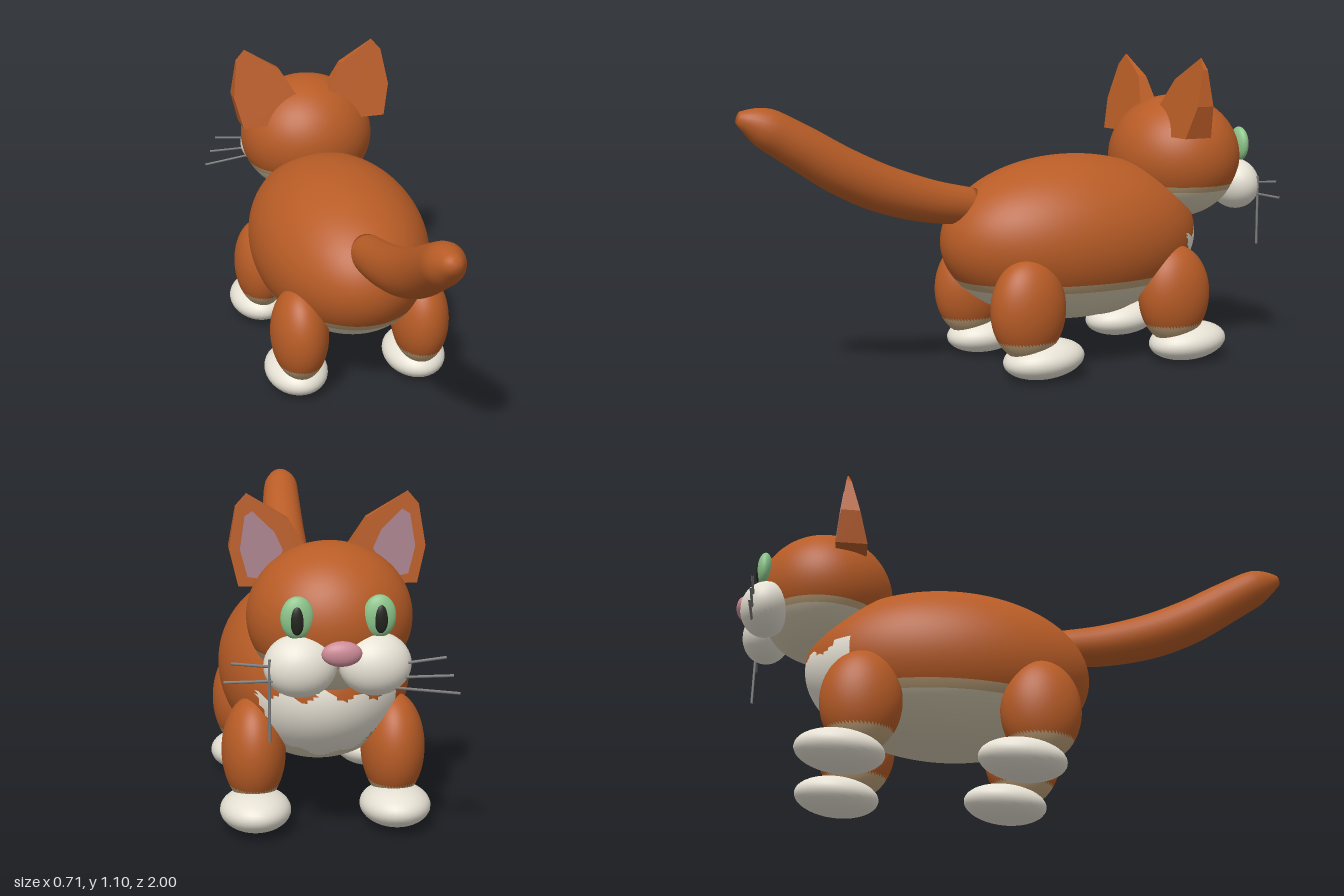
import * as THREE from 'three';

const MID = 0.008; // centre line of the cat

function material(name, color, side = THREE.FrontSide) {
  const m = new THREE.MeshStandardMaterial({ color, side });
  m.name = name;
  return m;
}

// Ellipsoid; an optional rule(x, y, z) in model space picks a material index per face
function ellipsoid(name, mats, c, r, rule, segs = 32) {
  const geo = new THREE.SphereGeometry(1, segs, Math.round(segs * 0.75));
  geo.scale(...r);
  if (rule) {
    const p = geo.attributes.position, old = geo.index.array;
    const buckets = mats.map(() => []);
    for (let i = 0; i < old.length; i += 3) {
      const tri = [old[i], old[i + 1], old[i + 2]];
      const mean = (get) => (get(tri[0]) + get(tri[1]) + get(tri[2])) / 3;
      const k = rule(mean((j) => p.getX(j)) + c[0], mean((j) => p.getY(j)) + c[1], mean((j) => p.getZ(j)) + c[2]);
      buckets[k].push(...tri);
    }
    geo.setIndex(buckets.flat());
    let start = 0;
    buckets.forEach((b, k) => { geo.addGroup(start, b.length, k); start += b.length; });
  }
  const mesh = new THREE.Mesh(geo, mats);
  mesh.name = name;
  mesh.position.set(...c);
  return mesh;
}

// Swept tail with its own radius at each point along the curve
function tailGeometry() {
  const curve = new THREE.CatmullRomCurve3([
    [0.0, 0.59, 0.15], [0.012, 0.62, 0.32], [0.02, 0.675, 0.5], [0.022, 0.745, 0.65],
    [0.018, 0.83, 0.79], [0.01, 0.905, 0.92], [0.008, 0.935, 0.995],
  ].map((a) => new THREE.Vector3(...a)));
  const rings = 40, sides = 24, pos = [], idx = [];
  const side = new THREE.Vector3(1, 0, 0);
  for (let i = 0; i <= rings; i++) {
    const t = i / rings, c = curve.getPointAt(t);
    const up = curve.getTangentAt(t).cross(side).normalize();
    let r = 0.065 + 0.018 * Math.sin(Math.PI * Math.min(1, t * 1.05));
    if (t > 0.88) r *= 1 - 0.68 * ((t - 0.88) / 0.12) ** 1.8;
    for (let j = 0; j < sides; j++) {
      const a = (j / sides) * Math.PI * 2;
      pos.push(c.x + r * Math.cos(a), c.y + up.y * r * Math.sin(a), c.z + up.z * r * Math.sin(a));
      if (i < rings) {
        const k = i * sides, n = (j + 1) % sides;
        idx.push(k + j, k + n, k + sides + j, k + n, k + sides + n, k + sides + j);
      }
    }
  }
  // end caps
  [0, 1].forEach((t) => {
    const c = curve.getPointAt(t), k = t * rings * sides, hub = pos.length / 3;
    pos.push(c.x, c.y, c.z);
    for (let j = 0; j < sides; j++) {
      const n = (j + 1) % sides;
      if (t) idx.push(hub, k + j, k + n); else idx.push(hub, k + n, k + j);
    }
  });
  const geo = new THREE.BufferGeometry();
  geo.setAttribute('position', new THREE.Float32BufferAttribute(pos, 3));
  geo.setIndex(idx);
  geo.computeVertexNormals();
  return geo;
}

// Ear slab: an outline (x mirrored by s) whose thickness shrinks toward the tip
function earGeometry(outline, s, front, back) {
  const shape = new THREE.Shape(outline.map(([x, y]) => new THREE.Vector2(s * x, y)));
  const geo = new THREE.ExtrudeGeometry(shape, { depth: 1, bevelEnabled: false });
  const p = geo.attributes.position;
  for (let i = 0; i < p.count; i++) {
    const h = (p.getY(i) - 0.82) / 0.285;
    p.setZ(i, p.getZ(i) > 0.5 ? back(h) : front(h));
  }
  geo.computeVertexNormals();
  return geo;
}

export function createModel() {
  const cat = new THREE.Group();
  cat.name = 'cat';
  const orange = material('orange fur', 0xb85c26, THREE.DoubleSide);
  const white = material('white fur', 0xe6e1d4);
  const cream = material('cream belly', 0xd3c8ae);
  const tan = material('tan fur edge', 0xbfa27a);
  const pink = material('pink nose', 0xcc8a96);
  const mauve = material('mauve inner ear', 0xa8808c);
  const green = material('green eye', 0x8cc48a);
  const black = material('black pupil', 0x22241f);
  const grey = material('grey whisker', 0x7c7c7c);

  // Body with cream belly, tan edge and ragged white chest
  const bodyRule = (x, y, z) => {
    const rag = 0.015 * Math.sin(x * 55) + 0.01 * Math.sin(x * 23 + 1);
    if (z < -0.61 + rag && y < 0.475 + rag) return 3;
    return y < 0.3 ? 2 : y < 0.33 ? 1 : 0;
  };
  cat.add(ellipsoid('body', [orange, tan, cream, white], [MID, 0.458, -0.243], [0.323, 0.3, 0.503], bodyRule, 112));

  // Head with cream chin
  const headRule = (x, y) => (y < 0.612 ? 2 : y < 0.633 ? 1 : 0);
  cat.add(ellipsoid('head', [orange, tan, cream], [MID, 0.73, -0.692], [0.257, 0.231, 0.242], headRule, 80));

  const tail = new THREE.Mesh(tailGeometry(), orange);
  tail.name = 'tail';
  cat.add(tail);

  const earOutline = [[0.1, 0.82], [0.278, 0.82], [0.305, 0.935], [0.284, 1.065], [0.25, 1.105], [0.122, 1.025], [0.065, 0.93]];
  const innerOutline = [[0.19, 0.84], [0.25, 0.85], [0.272, 0.935], [0.256, 1.035], [0.232, 1.05], [0.165, 0.985], [0.14, 0.93]];
  const earFront = (h) => -0.665 + 0.028 * h;
  const earBack = (h) => -0.555 - 0.078 * h;

  for (const s of [-1, 1]) {
    const label = s > 0 ? 'left' : 'right';

    // Legs with tan socks, and paws
    for (const [end, z] of [['Back', 0.053], ['Front', -0.55]]) {
      cat.add(ellipsoid(label + end + 'Leg', [orange, tan], [MID + s * 0.228, 0.252, z], [0.104, 0.18, 0.138],
        (x, y) => (y < 0.145 ? 1 : 0), 56));
      const paw = ellipsoid(label + end + 'Paw', white, [MID + s * 0.228, 0.073, z - 0.062], [0.115, 0.068, 0.15]);
      paw.rotation.x = 0.08;
      cat.add(paw);
    }

    // Ears
    const ear = new THREE.Mesh(earGeometry(earOutline, s, earFront, earBack), orange);
    ear.name = label + 'Ear';
    const inner = new THREE.Mesh(
      earGeometry(innerOutline, s, (h) => earFront(h) - 0.004, (h) => earFront(h) + 0.002), mauve);
    inner.name = label + 'InnerEar';
    ear.position.x = inner.position.x = MID;
    cat.add(ear, inner);

    // Eyes and cheeks
    cat.add(ellipsoid(label + 'Eye', green, [MID + s * 0.122, 0.775, -0.905], [0.05, 0.065, 0.027]));
    cat.add(ellipsoid(label + 'Pupil', black, [MID + s * 0.124, 0.77, -0.925], [0.021, 0.043, 0.011], null, 20));
    const cheek = ellipsoid(label + 'Cheek', white, [MID + s * 0.112, 0.627, -0.892], [0.11, 0.096, 0.086]);
    cheek.rotation.x = 0.2;
    cat.add(cheek);
  }

  cat.add(ellipsoid('nose', pink, [0.006, 0.68, -0.972], [0.06, 0.038, 0.028], null, 24));

  // Whiskers, one of them hanging straight down
  const whiskers = [
    [0.15, 0.63, 0.328, 0.65], [0.15, 0.593, 0.35, 0.593], [0.215, 0.66, 0.215, 0.405],
    [-0.15, 0.632, -0.312, 0.65], [-0.15, 0.593, -0.335, 0.593], [-0.15, 0.562, -0.356, 0.537],
  ];
  for (const [x0, y0, x1, y1] of whiskers) {
    const line = new THREE.LineCurve3(new THREE.Vector3(x0, y0, -0.933), new THREE.Vector3(x1, y1, -0.933));
    const mesh = new THREE.Mesh(new THREE.TubeGeometry(line, 1, 0.0045, 8), grey);
    mesh.name = 'whisker';
    cat.add(mesh);
  }
  return cat;
}
